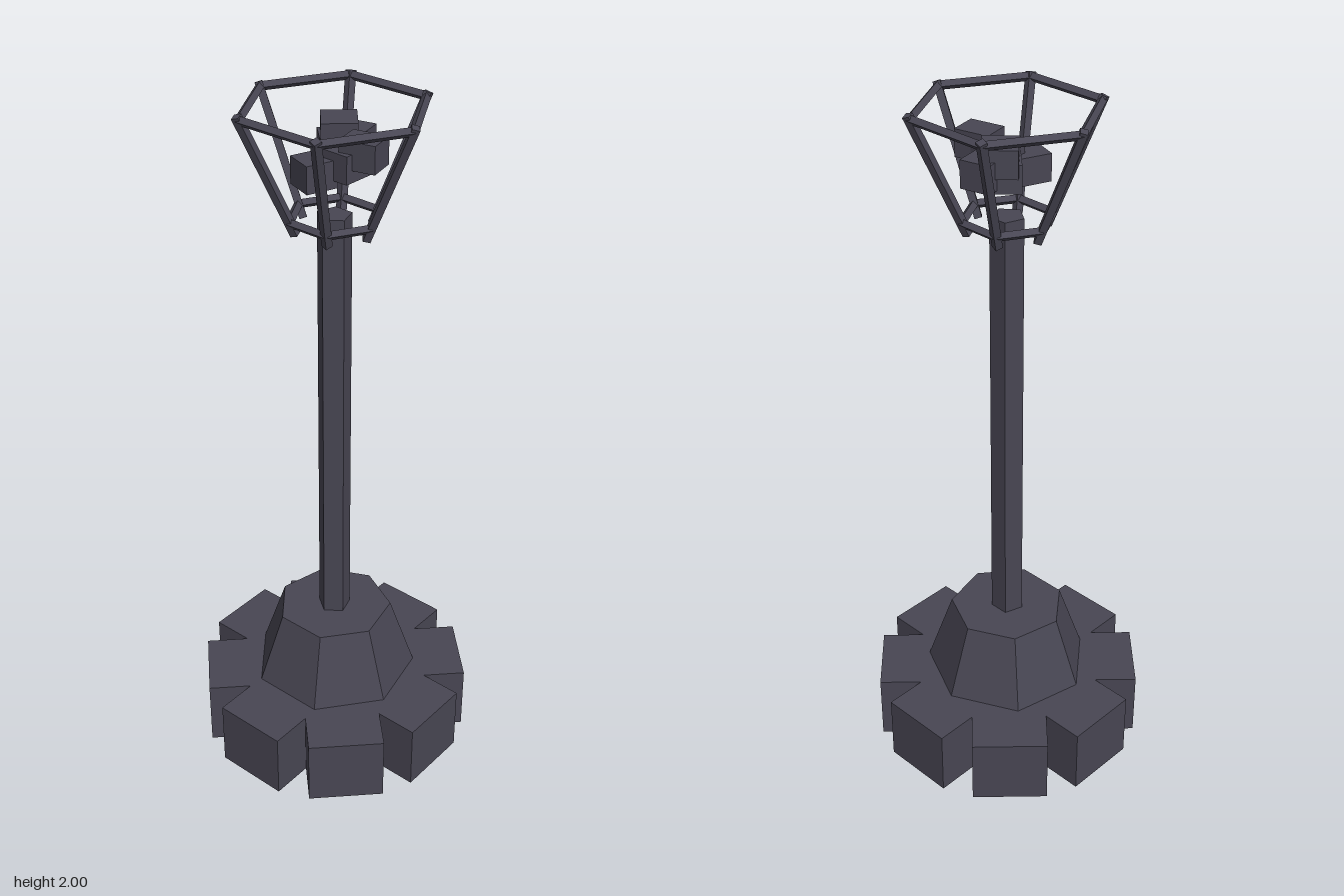
import * as THREE from 'three';

const iron = new THREE.MeshStandardMaterial({ color: 0x484653 });
iron.name = 'darkIron';

function add(parent, geometry, name) {
  const mesh = new THREE.Mesh(geometry.toNonIndexed(), iron);
  mesh.geometry.computeVertexNormals(); // faceted
  mesh.name = name;
  parent.add(mesh);
  return mesh;
}

// Four-sided bar from a to b, with one edge turned towards the hint direction
function bar(parent, a, b, radius, hint, name) {
  const mesh = add(parent, new THREE.CylinderGeometry(radius, radius, a.distanceTo(b), 4), name);
  const y = b.clone().sub(a).normalize();
  const x = new THREE.Vector3().crossVectors(y, hint).normalize();
  const z = new THREE.Vector3().crossVectors(x, y);
  mesh.quaternion.setFromRotationMatrix(new THREE.Matrix4().makeBasis(x, y, z));
  mesh.position.copy(a).add(b).multiplyScalar(0.5);
}

const polar = (r, y, angle) => new THREE.Vector3(r * Math.cos(angle), y, r * Math.sin(angle));

export function createModel() {
  const model = new THREE.Group();
  model.name = 'brazier';

  // Ring of eight foot blocks, open in the middle
  const base = new THREE.Group();
  base.name = 'base';
  for (let i = 0; i < 8; i++) {
    const a = (i * Math.PI) / 4;
    const block = add(base, new THREE.BoxGeometry(0.22, 0.205, 0.28), 'footBlock');
    block.position.set(0.25 * Math.sin(a), 0.1025, 0.25 * Math.cos(a));
    block.rotation.y = a;
  }
  model.add(base);

  // Seven-sided plinth and five-sided pole
  const plinth = add(model, new THREE.CylinderGeometry(0.17, 0.245, 0.22, 7), 'plinth');
  plinth.position.y = 0.313;
  plinth.rotation.y = Math.PI;
  const pole = add(model, new THREE.CylinderGeometry(0.048, 0.048, 1.28, 5), 'pole');
  pole.position.y = 1.06;

  // Flared six-sided basket of posts and rails
  const basket = new THREE.Group();
  basket.name = 'basket';
  const up = new THREE.Vector3(0, 1, 0);
  for (let i = 0; i < 6; i++) {
    const a = (i * Math.PI) / 3, next = a + Math.PI / 3;
    bar(basket, polar(0.106, 1.66, a), polar(0.252, 1.994, a), 0.0145, polar(1, 0, a), 'basketPost');
    bar(basket, polar(0.247, 1.983, a), polar(0.247, 1.983, next), 0.0125, up, 'topRail');
    bar(basket, polar(0.122, 1.694, a), polar(0.122, 1.694, next), 0.0125, up, 'bottomRail');
  }
  model.add(basket);

  // Loose coals: x, y, z, turn, width, depth
  const coals = new THREE.Group();
  coals.name = 'coals';
  for (const [x, y, z, turn, w, d] of [
    [-0.045, 1.892, -0.073, -0.85, 0.1, 0.095],
    [-0.045, 1.85, -0.065, 0.8, 0.095, 0.095],
    [-0.025, 1.86, -0.108, 0.22, 0.085, 0.09],
    [0.08, 1.883, -0.019, 0.22, 0.1, 0.08],
    [0.027, 1.85, -0.01, -0.04, 0.1, 0.1],
    [-0.02, 1.828, 0.055, -0.35, 0.085, 0.09],
  ]) {
    const coal = add(coals, new THREE.BoxGeometry(w, 0.075, d), 'coal');
    coal.position.set(x, y, z);
    coal.rotation.y = turn;
  }
  model.add(coals);

  return model;
}
